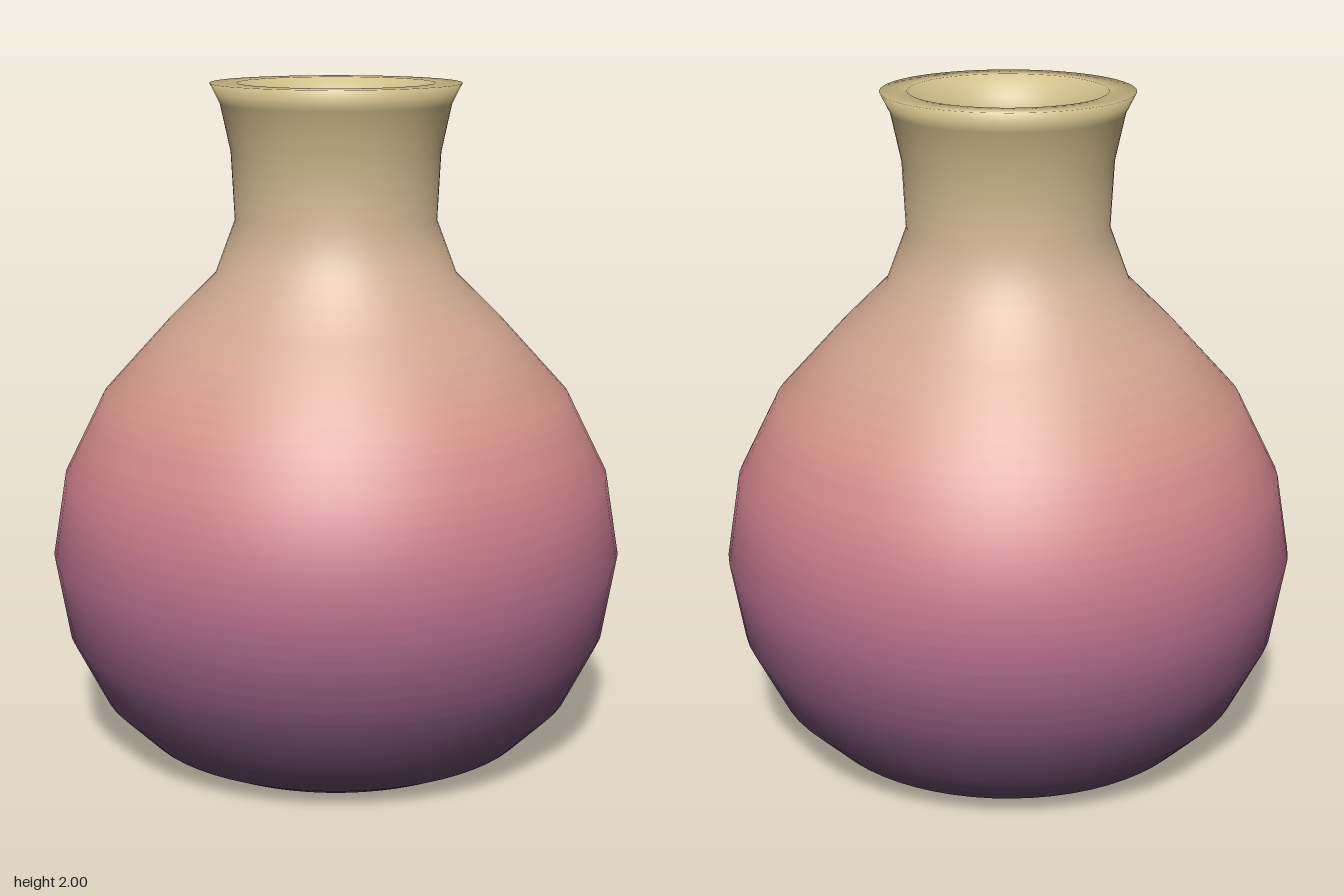
import * as THREE from 'three';
import { mergeGeometries } from 'three/addons/utils/BufferGeometryUtils.js';

const SIDES = 64;
const BANDS = 50; // glaze colour steps over the full height
const HEIGHT = 2;

// Half section: underside, outer wall, rim, inner wall, inner floor
const PROFILE = [
  [0, 0], [0.5, 0], [0.52, 0], [0.6, 0.04], [0.72, 0.16], [0.82, 0.36], [0.86, 0.6],
  [0.82, 0.84], [0.7, 1.08], [0.5, 1.3], [0.36, 1.44], [0.3, 1.6], [0.31, 1.8],
  [0.34, 1.94], [0.37, 2], [0.29, 2], [0.255, 1.9], [0.23, 1.78], [0.225, 1.58],
  [0.29, 1.4], [0.43, 1.24], [0.63, 1.04], [0.74, 0.82], [0.78, 0.6], [0.74, 0.39],
  [0.65, 0.22], [0.54, 0.11], [0.48, 0.08], [0.46, 0.08], [0, 0.08],
].map(([x, y]) => new THREE.Vector2(x, y));

// Glaze colours by height
const GLAZE = [
  [0, 0x5a4662], [0.3, 0x81567a], [0.6, 0xb06a88], [0.9, 0xcc8088],
  [1.1, 0xd29488], [1.5, 0xd0b294], [2, 0xd0be88],
];

function glazeAt(y) {
  let i = 0;
  while (i < GLAZE.length - 2 && y > GLAZE[i + 1][0]) i++;
  const [y0, c0] = GLAZE[i];
  const [y1, c1] = GLAZE[i + 1];
  return new THREE.Color(c0).lerp(new THREE.Color(c1), (y - y0) / (y1 - y0));
}

// Smooth normals of the half section, averaged at each point
function profileNormals(points) {
  const edges = points.slice(1).map((p, i) =>
    new THREE.Vector2(p.y - points[i].y, points[i].x - p.x).normalize());
  return points.map((_, i) => {
    const n = new THREE.Vector2();
    if (i > 0) n.add(edges[i - 1]);
    if (i < edges.length) n.add(edges[i]);
    return n.normalize();
  });
}

// One ring of wall between two section points, with given section normals
function ring(a, b, na, nb) {
  const geometry = new THREE.LatheGeometry([a, b], SIDES);
  const normal = geometry.attributes.normal;
  for (let i = 0; i <= SIDES; i++) {
    const phi = (i / SIDES) * Math.PI * 2;
    [na, nb].forEach((n, j) =>
      normal.setXYZ(i * 2 + j, n.x * Math.sin(phi), n.y, n.x * Math.cos(phi)));
  }
  return geometry;
}

export function createModel() {
  const vase = new THREE.Group();
  vase.name = 'vase';
  const normals = profileNormals(PROFILE);
  const bandRings = Array.from({ length: BANDS }, () => []);

  // Cut every wall section into thin rings and sort them by height
  for (let i = 0; i < PROFILE.length - 1; i++) {
    const [p, q, np, nq] = [PROFILE[i], PROFILE[i + 1], normals[i], normals[i + 1]];
    const steps = Math.max(1, Math.ceil((Math.abs(q.y - p.y) * BANDS) / HEIGHT));
    for (let s = 0; s < steps; s++) {
      const t0 = s / steps;
      const t1 = (s + 1) / steps;
      const a = p.clone().lerp(q, t0);
      const b = p.clone().lerp(q, t1);
      const na = np.clone().lerp(nq, t0).normalize();
      const nb = np.clone().lerp(nq, t1).normalize();
      const band = Math.min(BANDS - 1, Math.floor(((a.y + b.y) / 2 / HEIGHT) * BANDS));
      bandRings[band].push(ring(a, b, na, nb));
    }
  }

  // One mesh per glaze colour, from the foot up to the rim
  bandRings.forEach((rings, k) => {
    if (!rings.length) return;
    const color = glazeAt(((k + 0.5) / BANDS) * HEIGHT);
    const mesh = new THREE.Mesh(mergeGeometries(rings), new THREE.MeshStandardMaterial({ color }));
    mesh.name = `glazeBand${k + 1}`;
    vase.add(mesh);
  });

  return vase;
}
